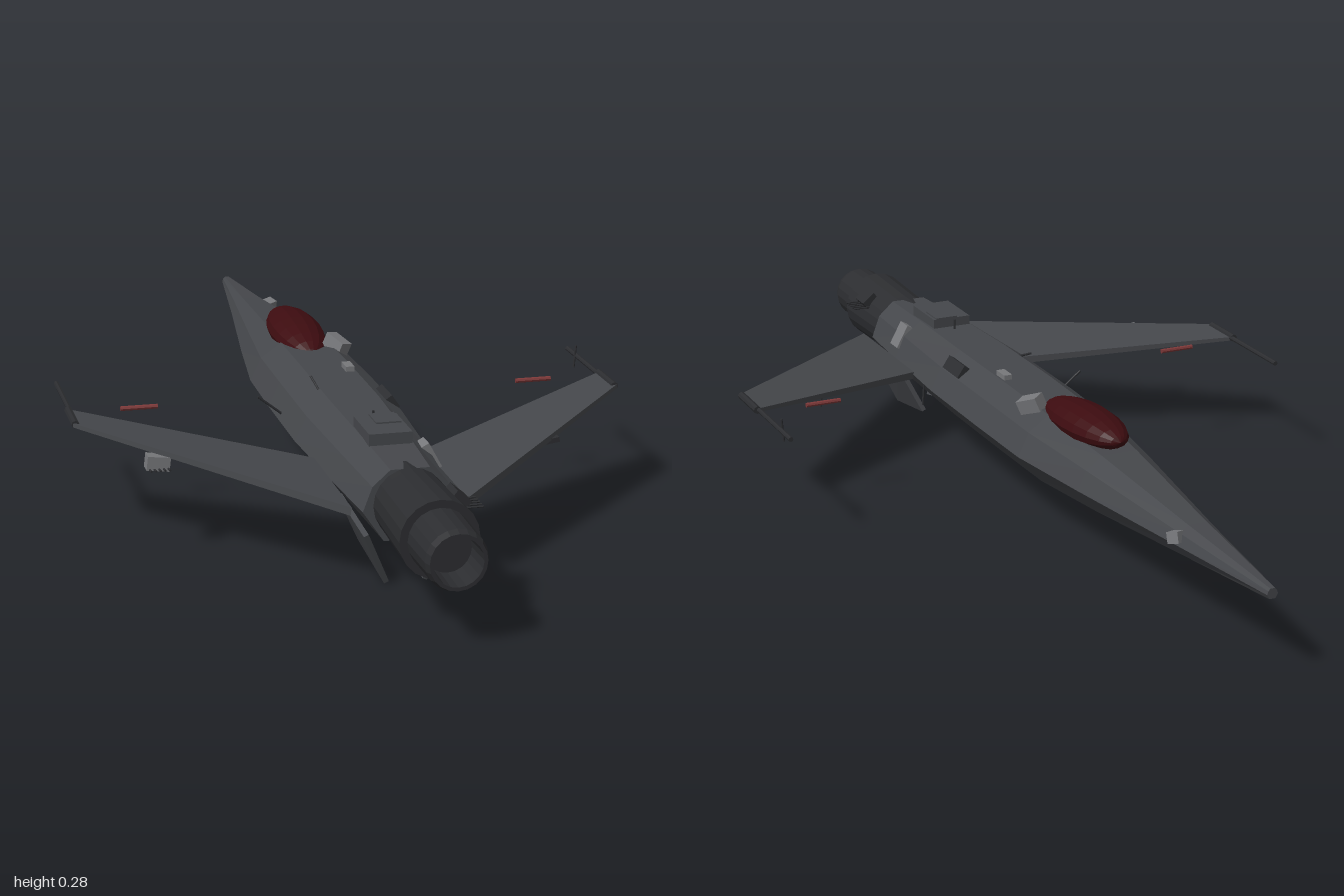
import * as THREE from 'three';
import { ConvexGeometry } from 'three/addons/geometries/ConvexGeometry.js';

const paint = (color) => new THREE.MeshStandardMaterial({ color, flatShading: true, side: THREE.DoubleSide });
const V = (x, y, z) => new THREE.Vector3(x, y, z);

// Hull skin lofted through angular sections: [z, half width, bottom y, top y]
function loftHull(sections) {
  const half = [[0.55, 0], [1, 0.43], [0.8, 0.78], [0.42, 1]];
  const ring = [...half, ...half.slice().reverse().map(([x, y]) => [-x, y])];
  const n = ring.length, pos = [], idx = [];
  for (const [z, w, y0, y1] of sections)
    for (const [x, y] of ring) pos.push(x * w, y0 + y * (y1 - y0), z);
  const last = (sections.length - 1) * n;
  for (let o = 0; o < last; o += n)
    for (let j = 0; j < n; j++) {
      const k = (j + 1) % n;
      idx.push(o + j, o + k, o + n + j, o + k, o + n + k, o + n + j);
    }
  for (let j = 1; j < n - 1; j++) idx.push(0, j + 1, j, last, last + j, last + j + 1);
  const g = new THREE.BufferGeometry();
  g.setAttribute('position', new THREE.Float32BufferAttribute(pos, 3));
  g.setIndex(idx);
  const flat = g.toNonIndexed();
  flat.computeVertexNormals();
  return flat;
}

// Flat panel through four corners, each with its own thickness
function panel(corners, thick) {
  const [a, b, c] = corners;
  const nrm = b.clone().sub(a).cross(c.clone().sub(a)).normalize();
  return new ConvexGeometry(corners.flatMap((p, i) =>
    [1, -1].map((s) => p.clone().addScaledVector(nrm, s * thick[i] / 2))));
}

export function createModel() {
  const model = new THREE.Group();
  const hull = paint(0x45474b), dark = paint(0x2c2d30), grey = paint(0x77787b);
  const glass = paint(0x3d0c10), red = paint(0x7d3838);

  const add = (name, geometry, material, parent = model) => {
    const m = new THREE.Mesh(geometry, material);
    m.name = name;
    parent.add(m);
    return m;
  };
  const box = (name, size, at, material, rot = [0, 0, 0]) => {
    const m = add(name, new THREE.BoxGeometry(...size), material);
    m.position.set(...at);
    m.rotation.set(...rot);
    return m;
  };
  const rod = (name, from, to, r, material) => {
    const a = V(...from), d = V(...to).sub(a);
    const m = add(name, new THREE.CylinderGeometry(r, r, d.length(), 8), material);
    m.position.copy(a).addScaledVector(d, 0.5);
    m.quaternion.setFromUnitVectors(V(0, 1, 0), d.normalize());
    return m;
  };

  // Fuselage, nose towards -z
  add('fuselage', loftHull([
    [-1, 0.011, 0.16, 0.18], [-0.72, 0.046, 0.138, 0.2], [-0.4, 0.09, 0.114, 0.228],
    [-0.18, 0.117, 0.102, 0.242], [0.02, 0.121, 0.102, 0.246], [0.26, 0.121, 0.102, 0.246],
    [0.5, 0.106, 0.1, 0.242], [0.68, 0.09, 0.097, 0.235],
  ]), hull);

  // Engine and hollow nozzle
  const profile = [[0.07, 0.64], [0.07, 0.7], [0.075, 0.88], [0.06, 0.88], [0.058, 0.985],
    [0.053, 1], [0.046, 1], [0.044, 0.93], [0, 0.93]].map(([r, z]) => new THREE.Vector2(r, z));
  add('engine', new THREE.LatheGeometry(profile, 20).rotateX(Math.PI / 2), dark).position.y = 0.167;

  // Canopy
  const canopy = add('canopy', new THREE.SphereGeometry(1, 14, 10).rotateX(Math.PI / 2), glass);
  canopy.scale.set(0.057, 0.036, 0.155);
  canopy.position.set(0, 0.243, -0.25);
  canopy.rotation.x = 0.05;

  for (const s of [-1, 1]) {
    const side = s > 0 ? 'left' : 'right';
    // Forward-swept wing with tip cannon and marker strip
    add(side + 'Wing', panel([
      V(s * 0.112, 0.16, 0.38), V(s * 0.56, 0.224, 0.14), V(s * 0.56, 0.224, 0.24), V(s * 0.112, 0.16, 0.68),
    ], [0.016, 0.008, 0.008, 0.016]), hull);
    rod(side + 'Cannon', [s * 0.555, 0.225, 0.24], [s * 0.555, 0.225, 0.14], 0.008, dark);
    rod(side + 'CannonBarrel', [s * 0.552, 0.225, 0.15], [s * 0.552, 0.225, -0.05], 0.005, dark);
    rod(side + 'MarkerStrip', [s * 0.375, 0.22, 0.14], [s * 0.45, 0.22, 0.14], 0.005, red);
    // Ventral fin
    add(side + 'VentralFin', panel([
      V(s * 0.083, 0.11, 0.68), V(s * 0.037, 0.005, 0.655), V(s * 0.045, 0.034, 0.485), V(s * 0.092, 0.135, 0.51),
    ], [0.01, 0.01, 0.01, 0.01]), hull);
  }

  // Equipment boxes on the hull
  box('dorsalBox', [0.085, 0.03, 0.12], [-0.002, 0.248, 0.49], hull);
  box('dorsalBoxCap', [0.05, 0.012, 0.06], [0.01, 0.26, 0.46], hull);
  box('canopySideBox', [0.03, 0.035, 0.05], [0.058, 0.246, -0.12], grey, [0.4, 0.5, -0.4]);
  box('noseBox', [0.025, 0.022, 0.025], [0.044, 0.18, -0.72], grey, [0.3, 0.5, 0]);
  box('spineBox', [0.018, 0.015, 0.04], [0.038, 0.249, 0.06], grey);
  box('flankBox', [0.018, 0.03, 0.08], [0.082, 0.225, 0.21], dark, [0, 0, 0.6]);
  box('rearFlankBox', [0.02, 0.055, 0.04], [0.08, 0.205, 0.52], grey, [0, 0, 0.5]);
  box('engineBox', [0.035, 0.03, 0.05], [0.055, 0.21, 0.79], dark, [0, 0, -0.7]);
  box('wingUndersidePlate', [0.16, 0.01, 0.05], [0.29, 0.178, 0.42], dark, [0, 0, 0.14]);
  box('wingPod', [0.045, 0.028, 0.03], [-0.42, 0.185, 0.385], grey, [0, 0, -0.12]);

  // Cooling ribs beside the engine and on the wing pod
  for (let i = 0; i < 5; i++) {
    rod('engineRib', [0.06, 0.2, 0.765 + i * 0.013], [0.1, 0.2, 0.765 + i * 0.013], 0.002, dark);
    rod('podRib', [-0.44 + i * 0.009, 0.175, 0.38], [-0.436 + i * 0.009, 0.175, 0.412], 0.002, dark);
  }

  // Thin antennas
  const antennas = [
    [[-0.163, 0.215, 0.11], [-0.1, 0.165, 0.11]], [[0.335, 0.19, 0.35], [0.342, 0.132, 0.35]],
    [[0.546, 0.2, 0.01], [0.55, 0.248, 0.01]], [[0.112, 0.16, 0.32], [0.116, 0.112, 0.32]],
    [[-0.05, 0.235, 0.2], [-0.06, 0.26, 0.14]], [[0, 0.24, 0.41], [0, 0.265, 0.41]],
    [[-0.19, 0.175, 0.36], [-0.22, 0.18, 0.42]], [[0.01, 0.125, -0.48], [0.01, 0.112, -0.48]],
  ];
  for (const [from, to] of antennas) rod('antenna', from, to, 0.0025, dark);

  return model;
}
